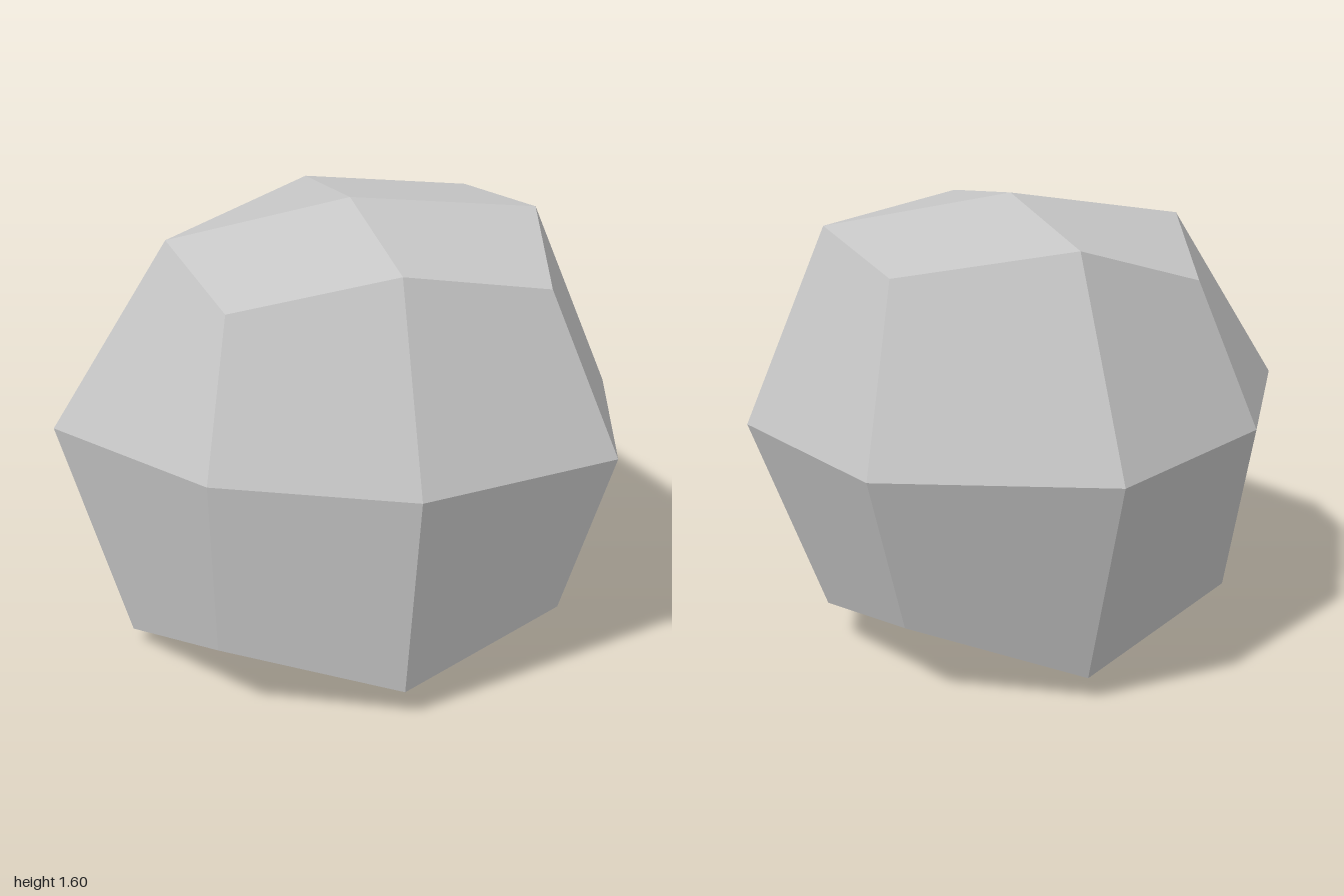
import * as THREE from 'three';

// How far each grid point of a 2x2-per-side cube is pushed along its own
// sign direction. Key: signs of x, y, z.
const PUSH = {
  '+00': 0.96, '-00': 1.04, '0+0': 0.744, '0-0': 0.856, '00+': 0.905, '00-': 1.055,
  '++0': 0.67, '-+0': 0.635, '+-0': 0.70, '--0': 0.80,
  '0++': 0.65, '0+-': 0.664, '0-+': 0.75, '0--': 0.767,
  '+0+': 0.72, '+0-': 0.733, '-0+': 0.622, '-0-': 0.653,
  '+++': 0.537, '-++': 0.535, '++-': 0.61, '-+-': 0.497,
  '+-+': 0.588, '--+': 0.596, '+--': 0.577, '---': 0.58,
};
const CENTRE = new THREE.Vector3(0.04, 0.856, 0.075);

// In-plane axes of each cube side; facets fold along their sum
const SIDES = [
  [[0, 1, 0], [-1, 0, 0]], // front
  [[1, 0, 0], [0, -1, 0]], // back
  [[1, 0, 0], [0, 0, -1]], // top
  [[1, 0, 0], [0, 0, 1]], // bottom
  [[0, 1, 0], [0, 0, 1]], // left
  [[0, 0, 1], [0, 1, 0]], // right
];

const sign = (v) => (v > 0 ? '+' : v < 0 ? '-' : '0');

function rockPoint(p) {
  const push = PUSH[sign(p.x) + sign(p.y) + sign(p.z)];
  return p.clone().multiplyScalar(push).add(CENTRE);
}

function rockGeometry() {
  const points = [];
  const normals = [];
  for (const axes of SIDES) {
    const [a, b] = axes.map((v) => new THREE.Vector3(...v));
    const n = a.clone().cross(b);
    const at = (u, v) => rockPoint(n.clone().addScaledVector(a, u).addScaledVector(b, v));
    for (const u of [-1, 0]) {
      for (const v of [-1, 0]) {
        const p = at(u, v), q = at(u + 1, v), r = at(u + 1, v + 1), s = at(u, v + 1);
        points.push(p, q, r, p, r, s);
        // One normal for the whole four-sided facet
        const facet = r.clone().sub(p).cross(s.clone().sub(q)).normalize();
        for (let i = 0; i < 6; i++) normals.push(...facet.toArray());
      }
    }
  }
  const geometry = new THREE.BufferGeometry().setFromPoints(points);
  geometry.setAttribute('normal', new THREE.Float32BufferAttribute(normals, 3));
  return geometry;
}

export function createModel() {
  const stone = new THREE.MeshStandardMaterial({ color: 0xc8c8c8 });
  stone.name = 'stone grey';

  const boulder = new THREE.Mesh(rockGeometry(), stone);
  boulder.name = 'boulder';

  const model = new THREE.Group();
  model.name = 'rock';
  model.add(boulder);
  return model;
}
